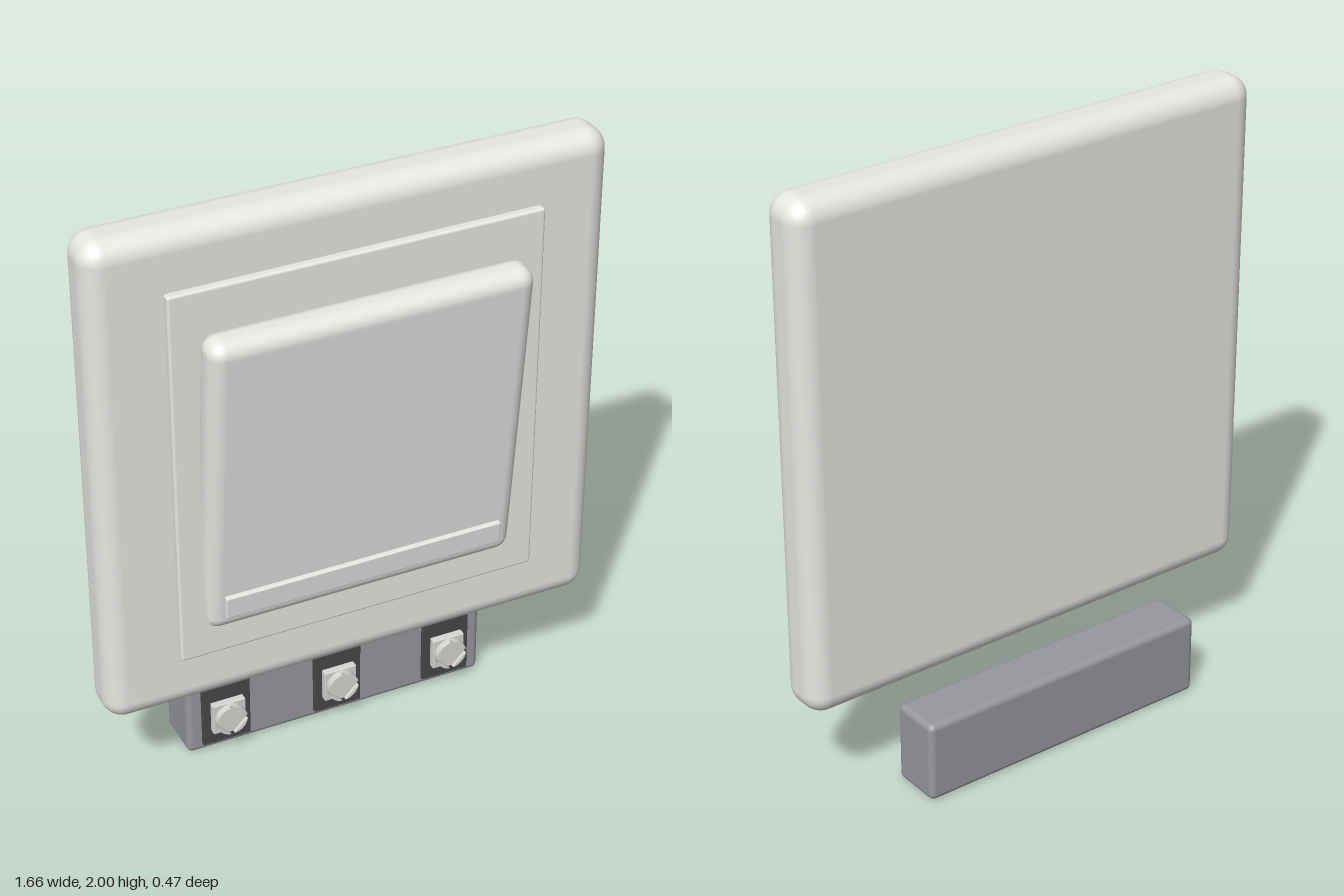
import * as THREE from 'three';
import { RoundedBoxGeometry } from 'three/addons/geometries/RoundedBoxGeometry.js';

const material = (name, color) => {
  const m = new THREE.MeshStandardMaterial({ color });
  m.name = name;
  return m;
};

export function createModel() {
  const white = material('warm white plastic', 0xe6e6e3);
  const grey = material('grey plastic', 0x97989e);
  const dark = material('dark recess', 0x48484a);
  const metal = material('screw metal', 0xd6d6d2);

  const model = new THREE.Group();
  model.name = 'wallSwitch';

  const add = (parent, name, geometry, mat, x, y, z) => {
    const mesh = new THREE.Mesh(geometry, mat);
    mesh.name = name;
    mesh.position.set(x, y, z);
    parent.add(mesh);
    return mesh;
  };
  const rounded = (w, h, d, r, s = 5) => new RoundedBoxGeometry(w, h, d, s, r);

  // Outer frame and the raised panel on it
  add(model, 'framePlate', rounded(1.664, 1.664, 0.174, 0.068, 6), white, 0, 1.168, 0.003);
  add(model, 'innerPanel', rounded(1.2, 1.28, 0.06, 0.009, 3), white, 0, 1.17, 0.085);

  // Rocker, pressed in at the bottom, with its grip bar
  const rocker = new THREE.Group();
  rocker.name = 'rocker';
  rocker.position.set(0, 1.152, 0.126);
  rocker.rotation.x = 0.1;
  model.add(rocker);
  add(rocker, 'rockerPad', rounded(1.04, 1.072, 0.115, 0.05, 6), white, 0, 0, 0);
  add(rocker, 'gripBar', rounded(0.93, 0.08, 0.03, 0.005, 2), white, 0, -0.434, 0.058);

  // Terminal block
  add(model, 'terminalBlock', rounded(1.04, 0.27, 0.175, 0.02, 4), grey, 0, 0.14, -0.15);

  // One quarter of a cross-slotted screw head
  const gap = 0.006, radius = 0.052;
  const a = Math.asin(gap / radius);
  const quarter = new THREE.Shape();
  quarter.moveTo(gap, gap);
  quarter.absarc(0, 0, radius, a, Math.PI / 2 - a, false);
  quarter.closePath();
  const quarterGeometry = new THREE.ExtrudeGeometry(quarter, {
    depth: 0.014, bevelEnabled: false, curveSegments: 8,
  });
  const shank = new THREE.CylinderGeometry(radius, radius, 0.02, 32).rotateX(Math.PI / 2);
  const recess = rounded(0.165, 0.22, 0.02, 0.004, 2);
  const clamp = rounded(0.112, 0.112, 0.026, 0.004, 2);

  // Three terminals: dark recess, clamp plate and screw
  for (const x of [-0.39, 0, 0.39]) {
    const terminal = new THREE.Group();
    terminal.name = 'terminal';
    terminal.position.set(x, 0.142, -0.06);
    model.add(terminal);
    add(terminal, 'recess', recess, dark, 0, 0, 0);
    add(terminal, 'clampPlate', clamp, metal, 0, 0, 0.022);
    add(terminal, 'screwBase', shank, metal, 0, 0, 0.036);
    for (let i = 0; i < 4; i++) {
      add(terminal, 'screwHeadQuarter', quarterGeometry, metal, 0, 0, 0.045).rotation.z = i * Math.PI / 2;
    }
  }

  return model;
}
